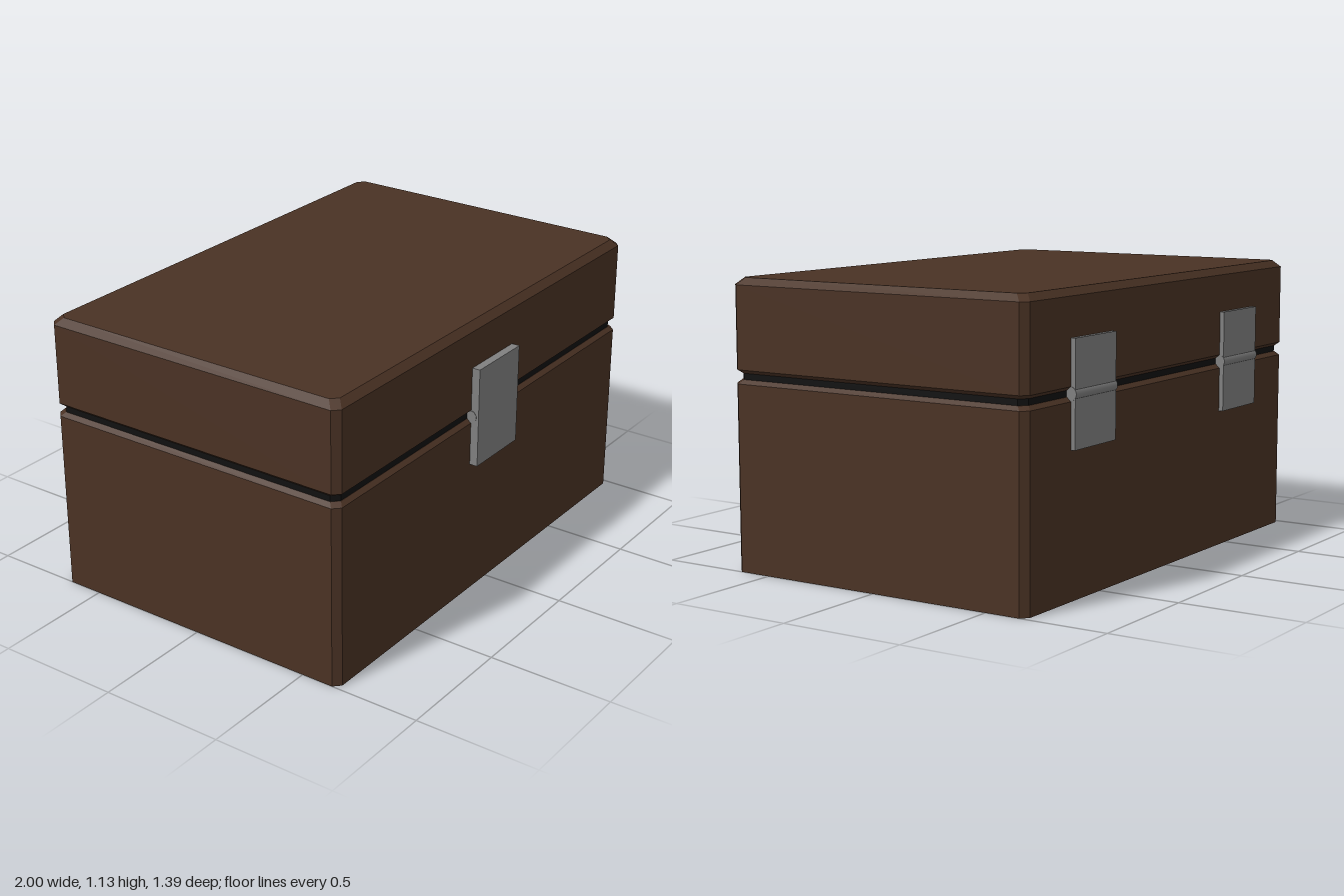
import * as THREE from 'three';

const brown = new THREE.MeshStandardMaterial({ color: 0x4a3224 });
const dark = new THREE.MeshStandardMaterial({ color: 0x111111 });
const metal = new THREE.MeshStandardMaterial({ color: 0x808080 });

const CENTER_Z = -0.005, HALF_X = 1, HALF_Z = 0.665, CORNER = 0.027;
const SEAM_Y = 0.757;

// Closed box with cut corners, lofted through levels of [height, inset]
function chamferedBox(levels) {
  const pos = [];
  const rings = levels.map(([y, inset]) => {
    const w = HALF_X - inset, d = HALF_Z - inset, c = CORNER;
    return [[w, c - d], [w, d - c], [w - c, d], [c - w, d],
      [-w, d - c], [-w, c - d], [c - w, -d], [w - c, -d]].map(([x, z]) => [x, y, z]);
  });
  const tri = (a, b, c) => pos.push(...a, ...b, ...c);
  for (let r = 0; r < rings.length - 1; r++) {
    const lo = rings[r], hi = rings[r + 1];
    for (let i = 0; i < 8; i++) {
      const j = (i + 1) % 8;
      tri(lo[i], hi[i], hi[j]);
      tri(lo[i], hi[j], lo[j]);
    }
  }
  const bottom = rings[0], top = rings[rings.length - 1];
  for (let i = 1; i < 7; i++) {
    tri(bottom[0], bottom[i], bottom[i + 1]);
    tri(top[0], top[i + 1], top[i]);
  }
  const geo = new THREE.BufferGeometry();
  geo.setAttribute('position', new THREE.Float32BufferAttribute(pos, 3));
  geo.computeVertexNormals();
  return geo;
}

function addMesh(parent, name, geo, mat, x = 0, y = 0, z = 0) {
  const mesh = new THREE.Mesh(geo, mat);
  mesh.name = name;
  mesh.position.set(x, y, z);
  parent.add(mesh);
  return mesh;
}

// Metal plate spanning the seam, with a horizontal pin behind it
function addFitting(parent, name, x, zInner, zOuter, pinZ, pinRadius) {
  const group = new THREE.Group();
  group.name = name;
  const plate = new THREE.BoxGeometry(0.283, 0.402, Math.abs(zOuter - zInner));
  addMesh(group, 'plate', plate, metal, x, 0.756, (zInner + zOuter) / 2);
  const pin = new THREE.CylinderGeometry(pinRadius, pinRadius, 0.287, 16);
  pin.rotateZ(Math.PI / 2);
  addMesh(group, 'pin', pin, metal, x, SEAM_Y, pinZ);
  parent.add(group);
}

export function createModel() {
  const model = new THREE.Group();
  model.name = 'chest';

  // Lower box and lid, chamfered where they meet
  addMesh(model, 'body', chamferedBox([[0, 0], [0.729, 0], [0.745, 0.016]]), brown, 0, 0, CENTER_Z);
  addMesh(model, 'lid', chamferedBox([[0.769, 0.016], [0.783, 0], [1.105, 0], [1.132, 0.027]]), brown, 0, 0, CENTER_Z);

  // Dark strip filling the seam
  addMesh(model, 'seamStrip', chamferedBox([[0.735, 0.017], [0.779, 0.017]]), dark, 0, 0, CENTER_Z);

  // Front latch and two back hinges
  addFitting(model, 'latch', 0, 0.655, 0.693, 0.66, 0.024);
  for (const side of [-1, 1]) {
    addFitting(model, side < 0 ? 'rightHinge' : 'leftHinge', side * 0.566, -0.665, -0.688, -0.668, 0.026);
  }
  return model;
}
